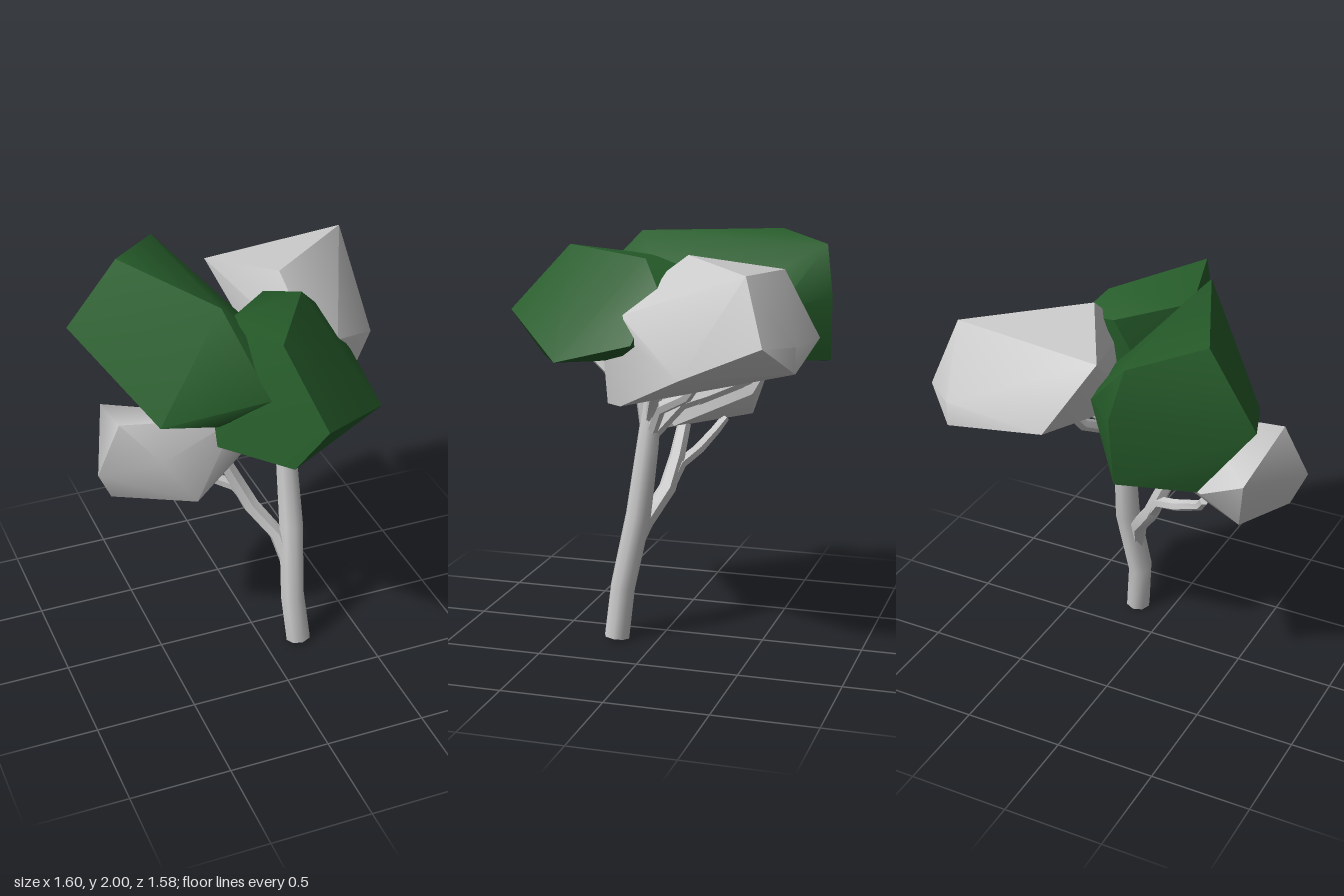
import * as THREE from 'three';
import { ConvexGeometry } from 'three/addons/geometries/ConvexGeometry.js';
import { toCreasedNormals } from 'three/addons/utils/BufferGeometryUtils.js';

const V = (p) => new THREE.Vector3(p[0], p[1], p[2]);
const bark = new THREE.MeshStandardMaterial({ color: 0xcccccc });
const paleLeaf = new THREE.MeshStandardMaterial({ color: 0xcccccc });
const greenLeaf = new THREE.MeshStandardMaterial({ color: 0x265c2a });

// Tapered limb with capped ends: path entries are [x, y, z, radius]
function limb(name, path, sides = 6) {
  const centres = path.map(V);
  const up = new THREE.Vector3(0, 1, 0);
  const pos = [];
  const index = [];
  centres.forEach((c, i) => {
    const before = centres[Math.max(i - 1, 0)];
    const after = centres[Math.min(i + 1, centres.length - 1)];
    const q = new THREE.Quaternion().setFromUnitVectors(up, after.clone().sub(before).normalize());
    for (let k = 0; k < sides; k++) {
      const a = (k / sides) * Math.PI * 2;
      const r = path[i][3];
      const p = new THREE.Vector3(Math.sin(a) * r, 0, Math.cos(a) * r).applyQuaternion(q).add(c);
      pos.push(p.x, Math.max(p.y, 0), p.z);
    }
  });
  const last = (path.length - 1) * sides;
  for (let k = 0; k < sides; k++) {
    const n = (k + 1) % sides;
    for (let b = 0; b < last; b += sides) {
      index.push(b + k, b + n, b + sides + n, b + k, b + sides + n, b + sides + k);
    }
    if (k > 0 && k < sides - 1) index.push(0, n, k, last, last + k, last + n);
  }
  const geo = new THREE.BufferGeometry();
  geo.setAttribute('position', new THREE.Float32BufferAttribute(pos, 3));
  geo.setIndex(index);
  const mesh = new THREE.Mesh(toCreasedNormals(geo, 0.9), bark);
  mesh.name = name;
  return mesh;
}

// Faceted leaf mass: hull around a few corner points, softened across shallow edges
function clump(name, material, corners) {
  const mesh = new THREE.Mesh(toCreasedNormals(new ConvexGeometry(corners.map(V)), 0.8), material);
  mesh.name = name;
  return mesh;
}

export function createModel() {
  const tree = new THREE.Group();
  tree.name = 'tree';

  // Trunk
  tree.add(limb('trunk', [
    [0.18, 0.01, 0.205, 0.064], [0.155, 0.27, 0.18, 0.063], [0.18, 0.65, 0.09, 0.064],
    [0.17, 1.0, 0.045, 0.056], [0.17, 1.26, 0.015, 0.045],
  ], 8));

  // Lower side branches
  const lower = new THREE.Group();
  lower.name = 'lowerBranches';
  lower.add(
    limb('lowerBranch', [
      [0.15, 0.42, 0.145, 0.034], [0.11, 0.6, 0.075, 0.042], [0, 0.75, -0.005, 0.044],
      [-0.07, 0.9, -0.035, 0.04], [-0.14, 1.05, -0.05, 0.035],
    ]),
    limb('lowerTwig', [
      [0.02, 0.72, 0, 0.032], [-0.07, 0.86, -0.05, 0.032], [-0.19, 0.91, -0.11, 0.03],
      [-0.34, 0.98, -0.16, 0.026], [-0.38, 1.04, -0.2, 0.022],
    ]),
  );
  tree.add(lower);

  // Crown branches
  const upper = new THREE.Group();
  upper.name = 'upperBranches';
  upper.add(
    limb('backBranch', [
      [0.17, 1.05, 0.03, 0.034], [0.1, 1.21, -0.1, 0.04], [0.06, 1.25, -0.22, 0.037],
      [-0.03, 1.32, -0.4, 0.032], [-0.12, 1.43, -0.55, 0.024],
    ]),
    limb('backTwig', [
      [0.12, 1.17, -0.05, 0.028], [0.05, 1.27, -0.17, 0.027], [-0.06, 1.34, -0.27, 0.024],
      [-0.14, 1.42, -0.32, 0.02],
    ]),
    limb('backSideTwig', [
      [0.08, 1.22, -0.18, 0.025], [-0.04, 1.29, -0.36, 0.026], [-0.16, 1.34, -0.45, 0.023],
      [-0.22, 1.42, -0.5, 0.02],
    ]),
    limb('frontBranch', [
      [0.17, 1.05, 0.05, 0.028], [0.17, 1.23, 0.07, 0.035], [0.17, 1.33, 0.2, 0.031],
      [0.14, 1.43, 0.33, 0.024],
    ]),
    limb('rightBranch', [
      [0.18, 1.05, 0.03, 0.028], [0.22, 1.2, -0.03, 0.034], [0.28, 1.28, -0.18, 0.031],
      [0.34, 1.45, -0.31, 0.024],
    ]),
    limb('rightTwig', [
      [0.18, 1.12, 0.03, 0.026], [0.26, 1.23, -0.01, 0.028], [0.36, 1.31, -0.05, 0.025],
      [0.42, 1.43, -0.1, 0.02],
    ]),
  );
  tree.add(upper);

  // Leaf masses
  tree.add(
    clump('backFoliage', greenLeaf, [
      [-0.51, 2, -0.46], [-0.22, 2, 0.19], [-0.24, 1.96, -0.74], [-0.76, 1.66, -0.5],
      [-0.1, 1.66, 0.5], [0.06, 1.62, 0.42], [-0.51, 1.4, 0.14], [-0.28, 1.45, 0.3],
      [-0.51, 1.33, -0.57], [-0.2, 1.4, -0.775], [-0.18, 1.72, -0.78], [0.03, 1.66, -0.55],
      [0.15, 1.6, -0.1], [0.02, 1.42, -0.45], [0.05, 1.43, 0.1],
    ]),
    clump('frontFoliage', greenLeaf, [
      [-0.05, 1.94, 0.51], [0.24, 1.92, 0.03], [0.06, 1.62, 0.785], [-0.05, 1.38, 0.66],
      [-0.28, 1.33, 0.28], [-0.28, 1.49, 0.22], [0.5, 1.45, 0.4], [0.51, 1.55, 0.02],
      [0.35, 1.8, -0.06], [0.12, 1.86, -0.15], [-0.16, 1.89, 0.12], [0.35, 1.5, -0.08],
      [-0.08, 1.4, -0.05],
    ]),
    clump('rightFoliage', paleLeaf, [
      [0.21, 1.94, -0.17], [0.7, 1.92, -0.57], [0.8, 1.62, -0.67], [0.76, 1.45, -0.28],
      [0.22, 1.21, 0.23], [0.26, 1.62, 0.25], [0.4, 1.67, 0.105], [0.36, 1.23, 0.12],
      [0.65, 1.49, -0.785], [0.65, 1.61, -0.785], [0.15, 1.57, -0.79], [-0.02, 1.86, -0.58],
    ]),
    clump('lowerFoliage', paleLeaf, [
      [-0.68, 1.4, 0.04], [-0.8, 1.16, 0.06], [-0.73, 1, 0.02], [-0.34, 0.96, 0.16],
      [-0.11, 1.33, 0.08], [-0.05, 1.16, 0.06], [-0.03, 1.06, -0.03], [-0.42, 1.16, -0.33],
      [-0.6, 1.02, -0.29], [-0.65, 1.28, -0.37], [-0.25, 1.37, 0.03], [-0.5, 1.2, 0.13],
    ]),
  );
  return tree;
}
